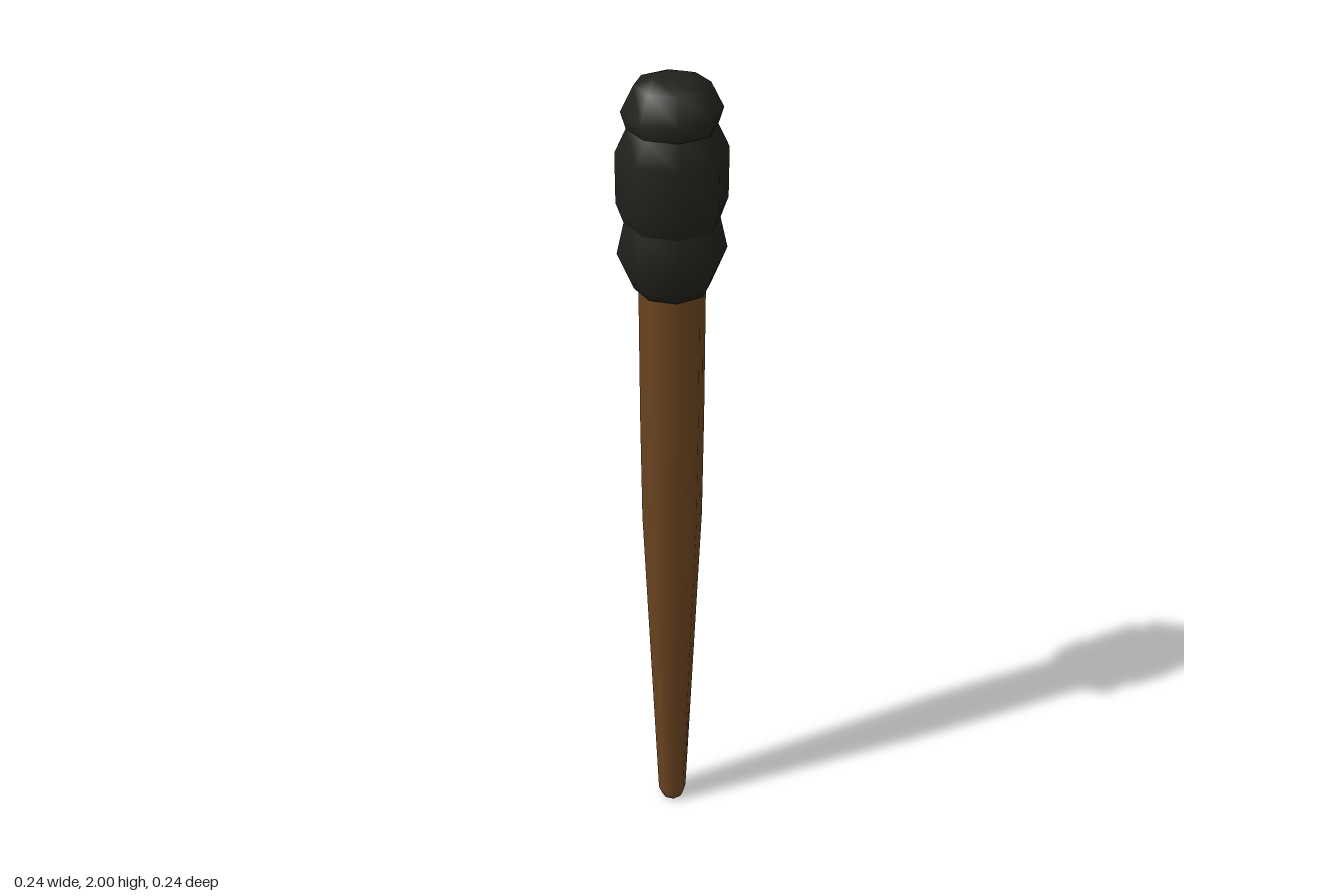
import * as THREE from 'three';

const SIDES = 8;

// Turned part from [radius, height] pairs, listed bottom to top
function turned(name, profile, color) {
  const points = profile.map(([r, y]) => new THREE.Vector2(r, y));
  const mesh = new THREE.Mesh(
    new THREE.LatheGeometry(points, SIDES),
    new THREE.MeshStandardMaterial({ color })
  );
  mesh.name = name;
  return mesh;
}

export function createModel() {
  const group = new THREE.Group();
  group.name = 'torch';
  const wood = 0x6b4420;
  const cloth = 0x22211c;

  // Tapered wooden handle with a rounded foot
  group.add(turned('handle', [
    [0, 0], [0.028, 0.003], [0.036, 0.025], [0.071, 0.93], [0.073, 1.2], [0.073, 1.56],
  ], wood));

  // Wrapped head: three bulging bands meeting at sharp grooves
  const head = new THREE.Group();
  head.name = 'head';
  head.add(turned('lowerWrap', [
    [0.07, 1.55], [0.082, 1.535], [0.09, 1.553], [0.118, 1.62], [0.102, 1.69],
  ], cloth));
  head.add(turned('middleWrap', [
    [0.102, 1.69], [0.118, 1.735], [0.118, 1.845], [0.094, 1.895],
  ], cloth));
  head.add(turned('topWrap', [
    [0.094, 1.895], [0.105, 1.93], [0.078, 1.983], [0.04, 1.997], [0, 2],
  ], cloth));
  group.add(head);

  return group;
}
